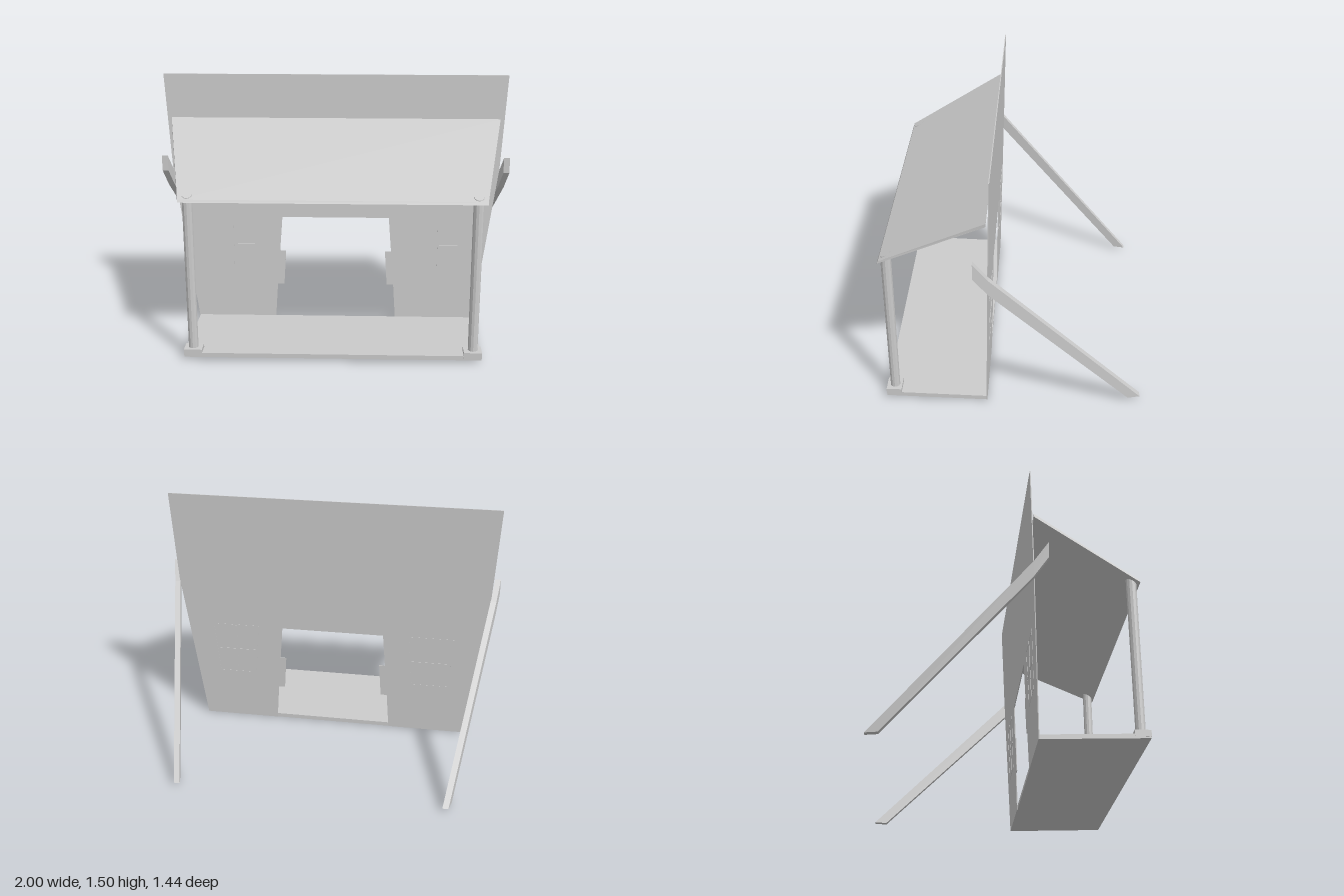
import * as THREE from 'three';

const material = new THREE.MeshStandardMaterial({ color: 0xcccccc, flatShading: true, side: THREE.DoubleSide });

function add(group, name, geometry) {
  const mesh = new THREE.Mesh(geometry, material);
  mesh.name = name;
  group.add(mesh);
  return mesh;
}

// Closed solid through a row of four-cornered cross-sections
function loft(rings) {
  const pos = [];
  const quad = (a, b, c, d) => pos.push(...a, ...b, ...c, ...a, ...c, ...d);
  for (let i = 0; i + 1 < rings.length; i++) {
    for (let j = 0; j < 4; j++) {
      const k = (j + 1) % 4;
      quad(rings[i][j], rings[i][k], rings[i + 1][k], rings[i + 1][j]);
    }
  }
  const first = rings[0], last = rings[rings.length - 1];
  quad(first[3], first[2], first[1], first[0]);
  quad(last[0], last[1], last[2], last[3]);
  const g = new THREE.BufferGeometry();
  g.setAttribute('position', new THREE.Float32BufferAttribute(pos, 3));
  g.computeVertexNormals();
  return g;
}

// Cross-section spanning x0..x1 with a top point and a bottom point [y, z]
const section = (x0, x1, top, bottom) => [
  [x0, bottom[0], bottom[1]], [x1, bottom[0], bottom[1]],
  [x1, top[0], top[1]], [x0, top[0], top[1]],
];

// Flat outline in x, y given thickness and leaned back with the wall
function leaningPanel(points, zBack, depth) {
  const shape = new THREE.Shape(points.map(([x, y]) => new THREE.Vector2(x, y)));
  const g = new THREE.ExtrudeGeometry(shape, { depth, bevelEnabled: false });
  const p = g.attributes.position;
  for (let i = 0; i < p.count; i++) p.setZ(i, p.getZ(i) + zBack - 0.027 * p.getY(i));
  g.computeVertexNormals();
  return g;
}

// Thin straight bar between two points on the wall
function bar(a, b, zBack, depth, width = 0.009) {
  const dx = b[0] - a[0], dy = b[1] - a[1], l = Math.hypot(dx, dy);
  const nx = -dy / l * width / 2, ny = dx / l * width / 2;
  return leaningPanel([
    [a[0] - nx, a[1] - ny], [b[0] - nx, b[1] - ny],
    [b[0] + nx, b[1] + ny], [a[0] + nx, a[1] + ny],
  ], zBack, depth);
}

export function createModel() {
  const model = new THREE.Group();
  model.name = 'porchFacade';

  // Leaning wall with a doorway and hinge leaves in its jambs
  const half = [
    [0.315, 0.65], [0.331, 0.44], [0.295, 0.44], [0.308, 0.23],
    [0.347, 0.23], [0.362, 0], [0.822, 0], [0.952, 0.95], [0.985, 1.5],
  ];
  const mirrored = half.map(([x, y]) => [-x, y]).reverse();
  add(model, 'wall', leaningPanel([...half, ...mirrored], 0.147, 0.005));

  // Sloping porch floor
  add(model, 'floor', loft([
    section(-0.822, 0.822, [0.025, 0.15], [0, 0.15]),
    section(-0.825, 0.825, [0.045, 0.718], [0.02, 0.718]),
  ]));

  // Porch roof, wider at the wall
  add(model, 'porchRoof', loft([
    section(-0.945, 0.945, [1.25, 0.13], [1.23, 0.132]),
    section(-0.825, 0.825, [0.935, 0.708], [0.92, 0.715]),
  ]));
  const roofTop = z => 0.935 + (0.708 - z) * 0.545;

  for (const s of [1, -1]) {
    const side = s > 0 ? 'left' : 'right';

    // Post, its top cut to the roof slope, on a square base
    const post = new THREE.CylinderGeometry(0.029, 0.027, 0.9, 12);
    post.translate(s * 0.778, 0.5, 0.674);
    const p = post.attributes.position;
    for (let i = 0; i < p.count; i++) {
      if (p.getY(i) > 0.5) p.setY(i, roofTop(p.getZ(i)) + 0.004);
    }
    post.computeVertexNormals();
    add(model, side + 'Post', post);
    const base = new THREE.BoxGeometry(0.1, 0.035, 0.085);
    base.translate(s * 0.776, 0.047, 0.677);
    add(model, side + 'PostBase', base);

    // Diagonal brace behind the wall, bent where it passes the wall edge
    const rail = (x, top, bottom, shift = 0) =>
      section(s * x - 0.017, s * x + 0.017, top, bottom).map(([px, y, z], i) =>
        [px + (i < 2 ? s * shift : 0), y, z]);
    add(model, side + 'Brace', loft([
      rail(0.983, [1.04, 0.2], [0.95, 0.2]),
      rail(0.965, [0.93, 0.12], [0.84, 0.12]),
      rail(0.777, [0.022, -0.718], [0.022, -0.65], 0.015),
    ]));

    // Window frame and crossbars
    const frame = new THREE.Group();
    frame.name = side + 'Window';
    model.add(frame);
    const corners = [[0.495, 0.32], [0.725, 0.32], [0.755, 0.65], [0.47, 0.65]].map(([x, y]) => [s * x, y]);
    corners.forEach((c, i) => add(frame, 'windowFrame', bar(c, corners[(i + 1) % 4], 0.1455, 0.005)));
    add(frame, 'windowMullion', bar([s * 0.61, 0.32], [s * 0.61, 0.65], 0.1445, 0.011));
    add(frame, 'windowCrossbar', bar([s * 0.48, 0.48], [s * 0.74, 0.48], 0.1445, 0.011));
  }
  return model;
}
